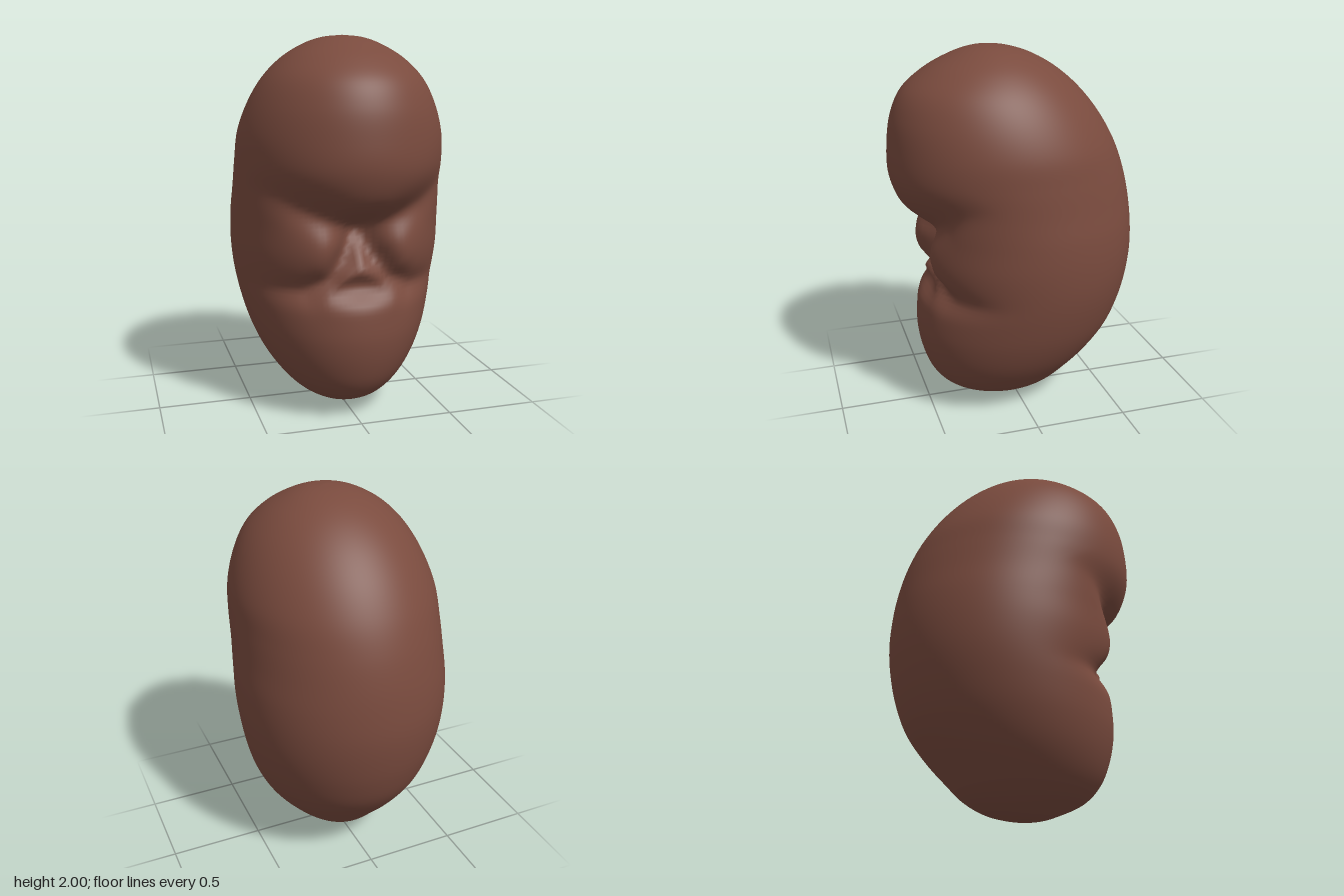
import * as THREE from 'three';

// Cross-sections from the base up: [height, front z, back z, half width]
const SECTIONS = [
  [0, 0.05, 0.05, 0], [0.008, 0.16, -0.03, 0.075], [0.035, 0.25, -0.145, 0.14], [0.1, 0.385, -0.255, 0.24],
  [0.19, 0.47, -0.345, 0.33], [0.31, 0.52, -0.455, 0.415], [0.45, 0.545, -0.555, 0.48],
  [0.6, 0.54, -0.615, 0.525], [0.75, 0.535, -0.65, 0.555], [0.9, 0.56, -0.667, 0.57],
  [1.05, 0.575, -0.662, 0.57], [1.2, 0.625, -0.642, 0.56], [1.35, 0.668, -0.605, 0.553],
  [1.5, 0.668, -0.545, 0.54], [1.65, 0.645, -0.455, 0.492], [1.78, 0.585, -0.345, 0.42],
  [1.88, 0.47, -0.225, 0.325], [1.95, 0.34, -0.1, 0.215], [1.988, 0.23, 0.02, 0.11], [2, 0.13, 0.13, 0],
];

// Folds on one side, mirrored by |x|: [x, y, depth, width]
const BROW_FOLD = [[0, 1.04, 0.14, 0.09], [0.12, 1.07, 0.1, 0.09], [0.3, 1.15, 0.07, 0.09], [0.52, 1.27, 0.015, 0.09]];
const CHEEK_FOLD = [[0.03, 1.0, 0.05, 0.06], [0.09, 0.88, 0.09, 0.07], [0.15, 0.78, 0.08, 0.07],
  [0.27, 0.72, 0.06, 0.07], [0.5, 0.71, 0.012, 0.07]];

// Depth of a fold at a point, measured from the nearest spot on its line
function foldDepth(fold, x, y) {
  let best = 0;
  for (let i = 0; i + 1 < fold.length; i++) {
    const [ax, ay, ad, aw] = fold[i], [bx, by, bd, bw] = fold[i + 1];
    const dx = bx - ax, dy = by - ay;
    const t = THREE.MathUtils.clamp(((x - ax) * dx + (y - ay) * dy) / (dx * dx + dy * dy), 0, 1);
    const d = Math.hypot(x - ax - t * dx, y - ay - t * dy);
    const w = aw + (bw - aw) * t;
    best = Math.max(best, (ad + (bd - ad) * t) * Math.exp(-Math.pow(d / w, 1.7)));
  }
  return best;
}

// How far the front is pressed in
function press(x, y) {
  const ax = Math.abs(x);
  const hollow = 0.09 * Math.exp(-((ax / 0.12) ** 2) - ((y - 0.94) / 0.13) ** 2);
  const lip = 0.075 * Math.exp(-((ax / 0.22) ** 2) - ((y - 0.73) / 0.07) ** 2);
  const cheek = foldDepth(CHEEK_FOLD, ax, y);
  return foldDepth(BROW_FOLD, ax, y) + hollow + Math.max(lip, cheek);
}

function bodyGeometry(rows = 120, cols = 128) {
  const outline = new THREE.CatmullRomCurve3(
    SECTIONS.map(([y, f, b]) => new THREE.Vector3(y, f, b)), false, 'catmullrom', 0.5);
  const widths = new THREE.CatmullRomCurve3(
    SECTIONS.map(([y, f, b, h]) => new THREE.Vector3(h, 0, 0)), false, 'catmullrom', 0.5);
  const positions = [], index = [];

  for (let r = 0; r <= rows; r++) {
    const { x: y, y: front, z: back } = outline.getPoint(r / rows);
    const half = Math.max(0, widths.getPoint(r / rows).x);
    const mid = (front + back) / 2;
    for (let c = 0; c < cols; c++) {
      const a = (c / cols) * Math.PI * 2;
      const x = half * Math.sin(a), k = Math.cos(a);
      let z = mid + (k > 0 ? front - mid : mid - back) * k;
      if (k > 0) z -= press(x, y) * THREE.MathUtils.smoothstep(k, 0, 0.6);
      positions.push(x, y, z);
    }
  }
  for (let r = 0; r < rows; r++) {
    for (let c = 0; c < cols; c++) {
      const n = (c + 1) % cols;
      const a = r * cols + c, b = r * cols + n, d = a + cols, e = b + cols;
      if (r > 0) index.push(a, b, e);
      if (r < rows - 1) index.push(a, e, d);
    }
  }
  const geo = new THREE.BufferGeometry();
  geo.setAttribute('position', new THREE.Float32BufferAttribute(positions, 3));
  geo.setIndex(index);
  geo.computeVertexNormals();

  // One shared normal at each pole
  const normals = geo.attributes.normal;
  for (let c = 0; c < cols; c++) {
    normals.setXYZ(c, 0, -1, 0);
    normals.setXYZ(rows * cols + c, 0, 1, 0);
  }
  return geo;
}

export function createModel() {
  const group = new THREE.Group();
  group.name = 'beanShape';
  const body = new THREE.Mesh(bodyGeometry(), new THREE.MeshStandardMaterial({ color: 0x7a4b3e }));
  body.name = 'foldedBody';
  group.add(body);
  return group;
}
